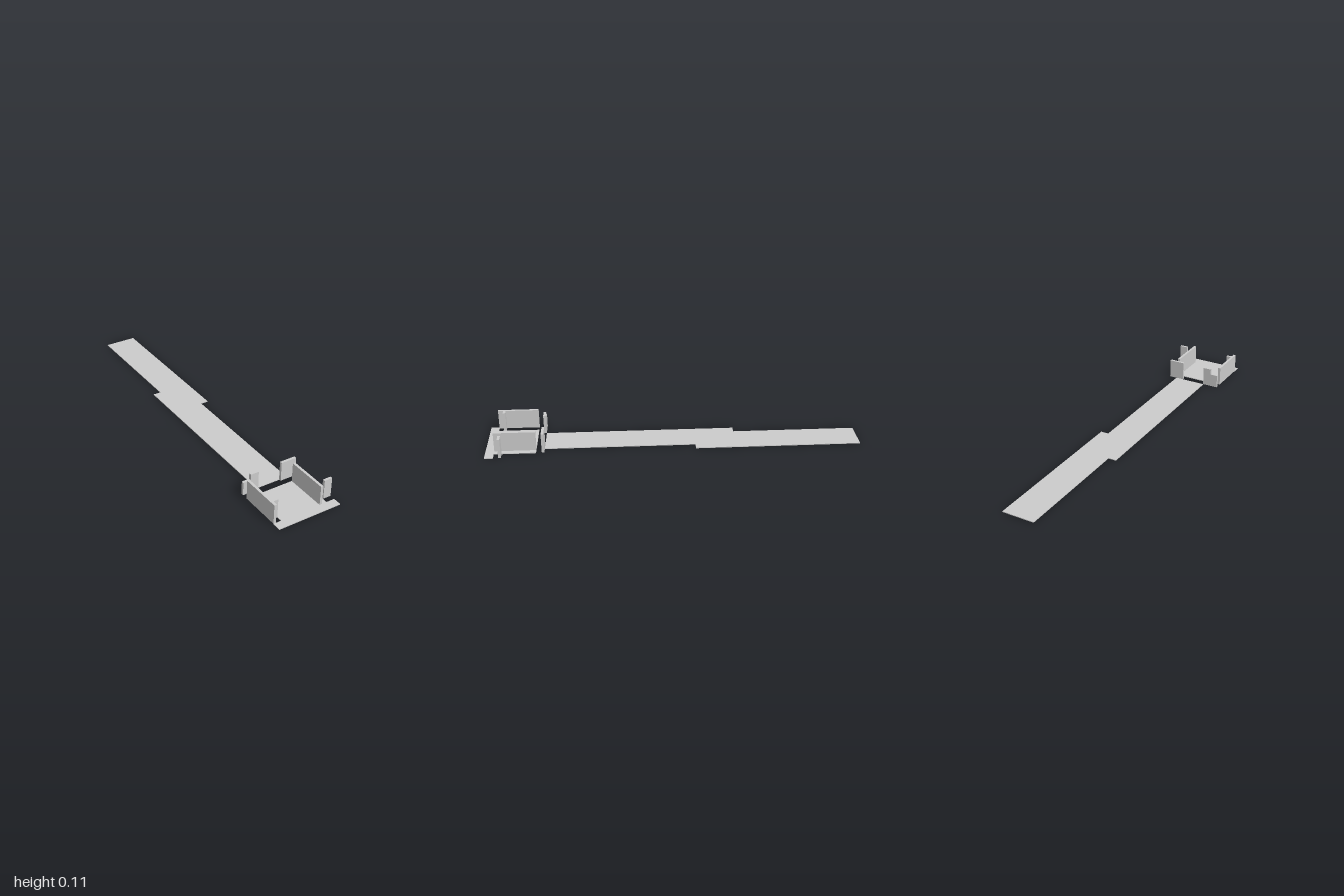
import * as THREE from 'three';

const FLOOR = 0.004; // slab thickness
const TOP = 0.11;    // wall top height
const WALL = 0.014;  // wall thickness

export function createModel() {
  const model = new THREE.Group();
  const material = new THREE.MeshStandardMaterial({ color: 0xcccccc, flatShading: true });

  const add = (name, geometry) => {
    const mesh = new THREE.Mesh(geometry, material);
    mesh.name = name;
    model.add(mesh);
  };

  const outline = (points) => new THREE.Shape(points.map(([a, b]) => new THREE.Vector2(a, b)));

  // Thin slab on the ground from an (x, z) outline
  const slab = (name, points) => {
    const g = new THREE.ExtrudeGeometry(outline(points), { depth: FLOOR, bevelEnabled: false });
    g.rotateX(Math.PI / 2).translate(0, FLOOR, 0);
    add(name, g);
  };

  // Upright wall standing on slab level, given by its x and z ranges
  const wall = (name, x0, x1, z0, z1) => {
    const g = new THREE.BoxGeometry(x1 - x0, TOP - FLOOR, z1 - z0);
    g.translate((x0 + x1) / 2, (TOP + FLOOR) / 2, (z0 + z1) / 2);
    add(name, g);
  };

  // Long walkway with a sideways step halfway
  slab('walkway', [
    [-0.046, -1], [0.132, -1], [0.132, -0.114], [0.089, -0.114],
    [0.089, 0.689], [-0.09, 0.689], [-0.09, -0.335], [-0.046, -0.335],
  ]);

  // Room floor with a wider front strip
  slab('roomFloor', [
    [-0.134, 0.733], [0.132, 0.733], [0.132, 0.954], [0.178, 0.954],
    [0.178, 1], [-0.178, 1], [-0.178, 0.954], [-0.134, 0.954],
  ]);

  // Side walls
  wall('rightSideWall', -0.178, -0.178 + WALL, 0.733, 0.954);
  wall('leftSideWall', 0.09, 0.09 + WALL, 0.733, 0.954);

  // Short front walls
  wall('rightFrontWall', -0.164, -0.136, 0.912, 0.912 + WALL);
  wall('leftFrontWall', 0.134, 0.178, 0.912, 0.912 + WALL);

  // Rear walls: a plain one and one with a lowered outer half
  wall('leftRearWall', 0.045, 0.132, 0.689, 0.689 + WALL);
  const notched = new THREE.ExtrudeGeometry(outline([
    [-0.178, FLOOR], [-0.09, FLOOR], [-0.09, TOP],
    [-0.136, TOP], [-0.136, 0.078], [-0.178, 0.078],
  ]), { depth: WALL, bevelEnabled: false });
  add('rightRearWall', notched.translate(0, 0, 0.689));

  return model;
}
